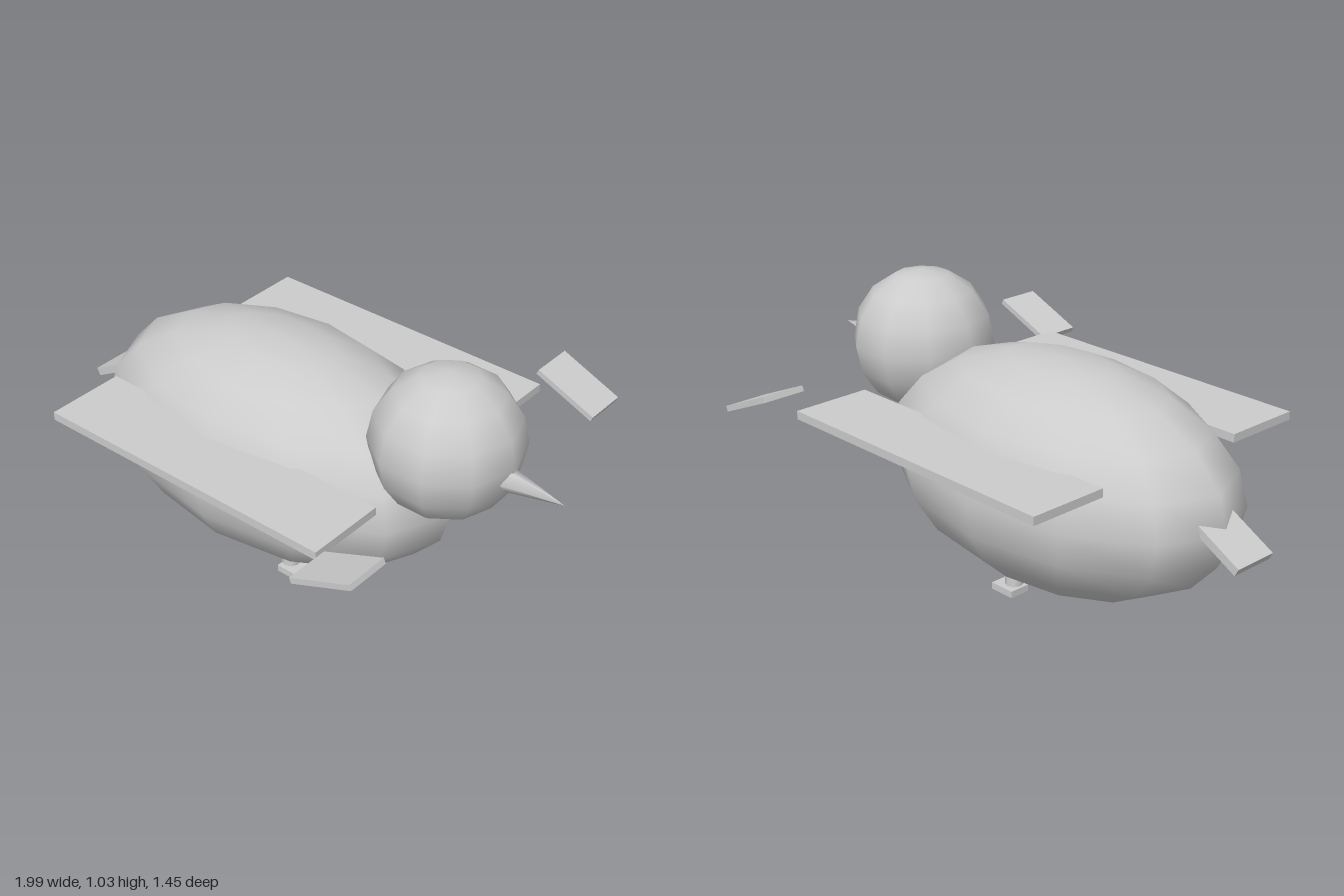
import * as THREE from 'three';

export function createModel() {
  const group = new THREE.Group();
  const material = new THREE.MeshStandardMaterial({ color: 0xcccccc });

  const add = (name, geometry, x, y, z, tilt = 0) => {
    const mesh = new THREE.Mesh(geometry, material);
    mesh.name = name;
    mesh.position.set(x, y, z);
    mesh.rotation.z = tilt;
    group.add(mesh);
    return mesh;
  };

  // Low-poly egg-shaped body and round head
  add('body', new THREE.SphereGeometry(1, 12, 10), -0.15, 0.485, 0).scale.set(0.73, 0.4, 0.43);
  add('head', new THREE.SphereGeometry(0.258, 10, 8), 0.55, 0.773, 0);

  // Five-sided beak pointing along +x
  add('beak', new THREE.ConeGeometry(0.043, 0.21, 5), 0.89, 0.73, 0, -Math.PI / 2);

  // Slanted tail board
  add('tail', new THREE.BoxGeometry(0.2, 0.03, 0.165), -0.9, 0.475, 0, 0.5);

  // Paired parts; the wing tips tilt in opposite directions
  for (const side of [1, -1]) {
    const label = side > 0 ? 'front' : 'back';
    add(label + 'Wing', new THREE.BoxGeometry(1.15, 0.03, 0.29), -0.065, 0.65, side * 0.453);
    add(label + 'WingTip', new THREE.BoxGeometry(0.246, 0.02, 0.16), 0.63, 0.688, side * 0.643, side * 0.4);
    add(label + 'Leg', new THREE.CylinderGeometry(0.026, 0.033, 0.1, 8), -0.025, 0.085, side * 0.1);
    add(label + 'Foot', new THREE.BoxGeometry(0.1, 0.025, 0.08), -0.003, 0.0125, side * 0.1);
  }

  return group;
}
